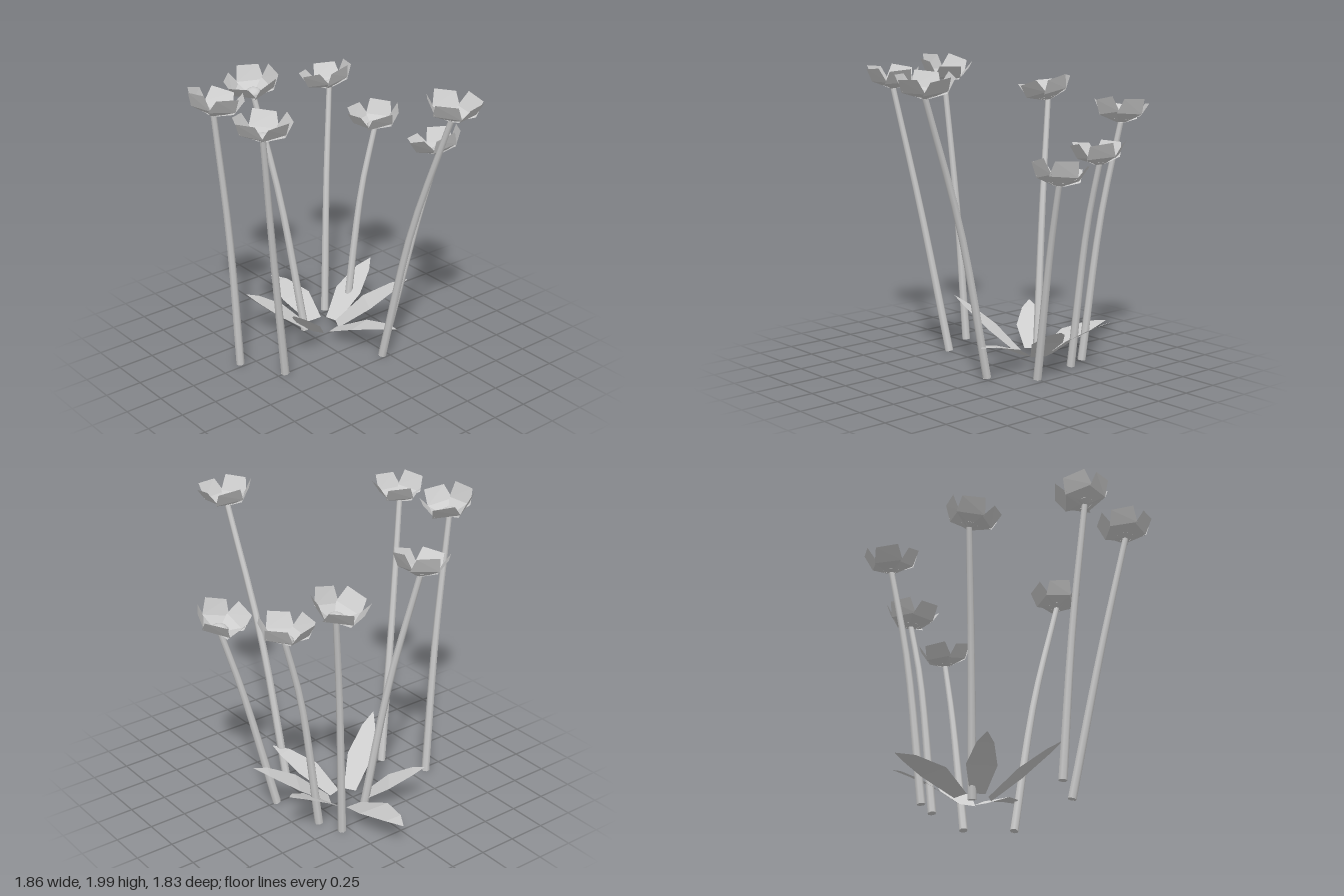
import * as THREE from 'three';

const grey = new THREE.MeshStandardMaterial({ color: 0xcccccc, side: THREE.DoubleSide });
grey.name = 'pale grey';
const V = (p) => new THREE.Vector3(...p);

function mesh(geometry, name) {
  const m = new THREE.Mesh(geometry, grey);
  m.name = name;
  return m;
}

// Flat-shaded strip from rows of [left point, right point]
function strip(rows) {
  const pos = [];
  for (let i = 0; i < rows.length - 1; i++) {
    const [a, b] = rows[i], [c, d] = rows[i + 1];
    for (const v of [a, b, d, a, d, c]) pos.push(v.x, v.y, v.z);
  }
  const g = new THREE.BufferGeometry();
  g.setAttribute('position', new THREE.Float32BufferAttribute(pos, 3));
  g.computeVertexNormals();
  return g;
}

// Petal along +x: [reach, height, half width, twist]
const PETAL = [[0.015, 0, 0.025, 0], [0.11, 0.045, 0.09, 0.006], [0.165, 0.135, 0.072, 0.008]];
const petalGeometry = strip(PETAL.map(([r, y, w, t]) =>
  [new THREE.Vector3(r, y + t, -w), new THREE.Vector3(r, y - t, w)]));

// Five-petalled cup with a low domed centre, turned by phase degrees
function flowerHead(phase) {
  const head = new THREE.Group();
  head.name = 'flowerHead';
  for (let i = 0; i < 5; i++) {
    const petal = mesh(petalGeometry, 'petal');
    petal.rotation.y = THREE.MathUtils.degToRad(phase + i * 72);
    head.add(petal);
  }
  const centre = mesh(new THREE.SphereGeometry(0.055, 10, 4, 0, Math.PI * 2, 0, Math.PI / 2), 'flowerCentre');
  centre.scale.y = 0.6;
  centre.position.y = 0.015;
  head.add(centre);
  return head;
}

// Tapered, gently bent stem
function stem(curve) {
  const rings = 8, sides = 7;
  const g = new THREE.TubeGeometry(curve, rings, 0.028, sides);
  const p = g.attributes.position, v = new THREE.Vector3();
  for (let i = 0; i < p.count; i++) {
    const t = Math.floor(i / (sides + 1)) / rings;
    const c = curve.getPointAt(t);
    v.fromBufferAttribute(p, i).sub(c).multiplyScalar(1 - 0.32 * t).add(c);
    p.setXYZ(i, v.x, v.y, v.z);
  }
  return mesh(g, 'stem');
}

function flower({ path, lean, phase }) {
  const group = new THREE.Group();
  group.name = 'flower';
  const curve = new THREE.CatmullRomCurve3(path.map(V));
  const foot = mesh(new THREE.CircleGeometry(0.028, 7), 'stemEnd');
  foot.position.copy(curve.getPointAt(0));
  foot.quaternion.setFromUnitVectors(new THREE.Vector3(0, 0, -1), curve.getTangentAt(0));
  const head = flowerHead(phase);
  head.position.copy(curve.getPointAt(1));
  head.quaternion.setFromUnitVectors(new THREE.Vector3(0, 1, 0),
    new THREE.Vector3(lean[0], 1, lean[1]).normalize());
  group.add(stem(curve), foot, head);
  return group;
}

// Leaf blade: [position along, half width]
const BLADE = [[0, 0.05], [0.42, 0.1], [0.8, 0.055], [1, 0.002]];
function leaf([base, tip, arch, width]) {
  const a = V(base), b = V(tip);
  const side = new THREE.Vector3(b.z - a.z, 0, a.x - b.x).normalize();
  return mesh(strip(BLADE.map(([t, w]) => {
    const c = a.clone().lerp(b, t);
    c.y += arch * 4 * t * (1 - t);
    return [c.clone().addScaledVector(side, w * width), c.clone().addScaledVector(side, -w * width)];
  })), 'leaf');
}

// Stem path (foot, bend, top), lean of the head in x and z, turn of the petals
const FLOWERS = [
  { path: [[0, 0.01, -0.44], [0.08, 0.87, -0.635], [0.125, 1.3, -0.755]], lean: [-0.25, 0.12], phase: -14 },
  { path: [[-0.365, 0.01, -0.366], [-0.365, 0.94, -0.5], [-0.36, 1.37, -0.61]], lean: [0, 0.08], phase: -20 },
  { path: [[-0.526, 0.01, -0.302], [-0.605, 0.97, -0.385], [-0.685, 1.6, -0.475]], lean: [-0.2, 0.12], phase: 0 },
  { path: [[0.22, 0.01, -0.205], [0.45, 0.98, -0.23], [0.75, 1.83, -0.265]], lean: [0.06, -0.08], phase: 13 },
  { path: [[-0.385, 0.01, -0.015], [-0.515, 0.97, 0.08], [-0.655, 1.7, 0.18]], lean: [0.1, 0.2], phase: 7 },
  { path: [[-0.283, 0.01, 0.605], [-0.258, 0.97, 0.675], [-0.236, 1.82, 0.775]], lean: [0, -0.22], phase: -12 },
  { path: [[0, 0.01, 0.446], [0.11, 0.97, 0.605], [0.225, 1.79, 0.745]], lean: [0, -0.04], phase: -3 },
];

// Leaves: base, tip, arch, width factor
const LEAVES = [
  [[-0.2, 0.055, -0.115], [0.31, 0.225, -0.25], 0.035, 0.9],
  [[-0.23, 0.055, -0.01], [0.01, 0.41, 0.375], 0.01, 0.85],
  [[-0.35, 0.055, 0], [-0.61, 0.295, 0.31], 0.02, 0.95],
  [[-0.39, 0.055, -0.105], [-0.925, 0.18, -0.13], 0.04, 1.1],
  [[-0.315, 0.055, -0.2], [-0.44, 0.345, -0.65], 0.025, 1],
  [[-0.24, 0.055, -0.185], [-0.02, 0.345, -0.63], 0.025, 1.05],
];

export function createModel() {
  const model = new THREE.Group();
  model.name = 'floweringPlant';
  FLOWERS.forEach((f) => model.add(flower(f)));
  LEAVES.forEach((l) => model.add(leaf(l)));
  return model;
}
